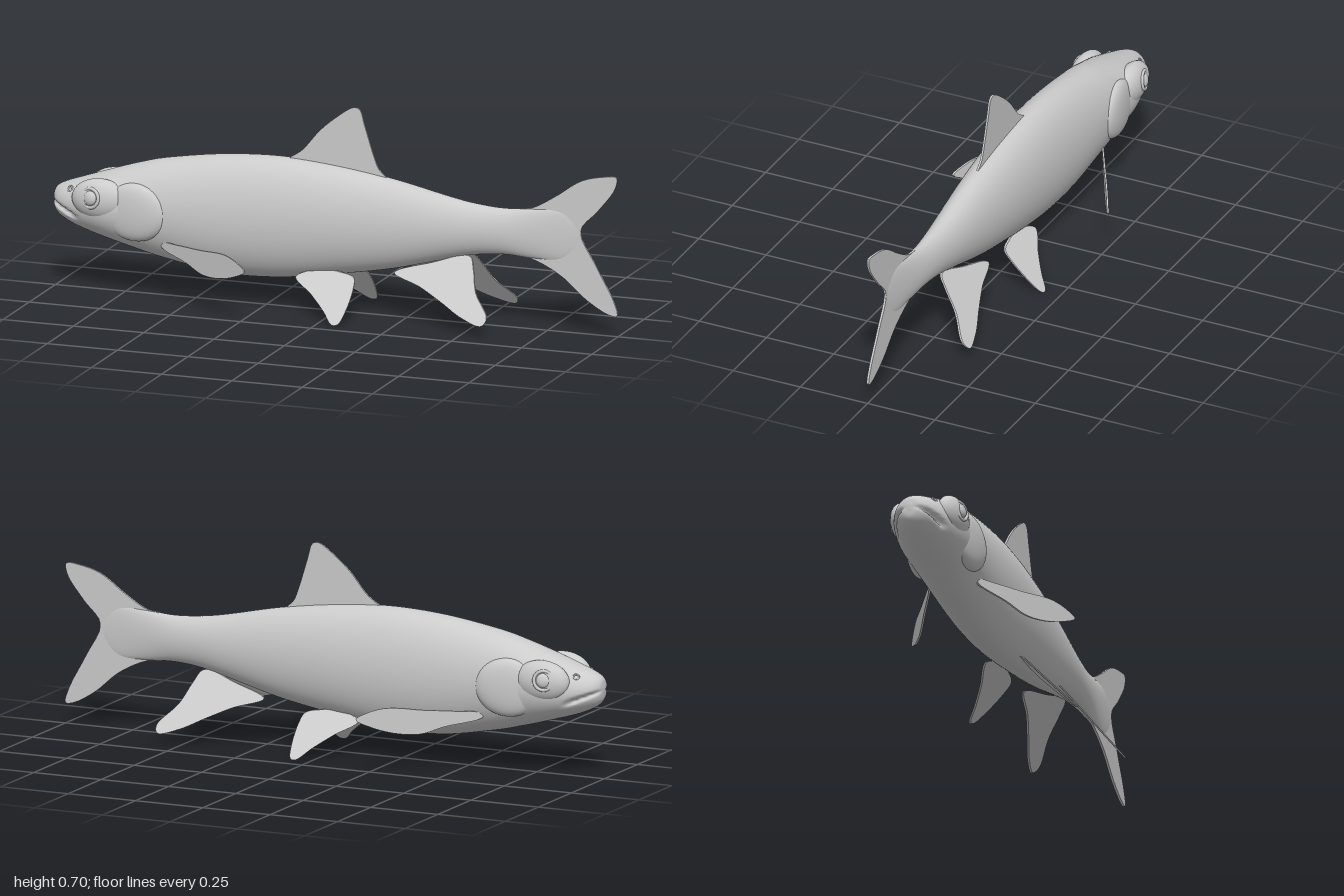
import * as THREE from 'three';
import { mergeVertices } from 'three/addons/utils/BufferGeometryUtils.js';

const skin = new THREE.MeshStandardMaterial({ color: 0xcccccc });
const finSkin = new THREE.MeshStandardMaterial({ color: 0xcccccc, side: THREE.DoubleSide });

// Body stations from snout to tail root: x, belly height, back height, half width
const STATIONS = [
  [-1, 0.3, 0.32, 0.008], [-0.993, 0.268, 0.345, 0.035], [-0.965, 0.243, 0.363, 0.064],
  [-0.9, 0.215, 0.386, 0.094], [-0.8, 0.185, 0.42, 0.116], [-0.7, 0.157, 0.452, 0.113],
  [-0.6, 0.133, 0.477, 0.112], [-0.4, 0.1, 0.507, 0.11], [-0.2, 0.103, 0.517, 0.105],
  [0, 0.132, 0.503, 0.096], [0.2, 0.168, 0.474, 0.08], [0.4, 0.22, 0.432, 0.06],
  [0.5, 0.243, 0.416, 0.048], [0.6, 0.252, 0.41, 0.036], [0.7, 0.247, 0.418, 0.022],
  [0.8, 0.25, 0.42, 0.01], [0.87, 0.3, 0.38, 0.003],
];

function bodyGeometry() {
  const outline = new THREE.CatmullRomCurve3(
    STATIONS.map(([x, lo, hi]) => new THREE.Vector3(x, lo, hi)), false, 'catmullrom');
  const widths = new THREE.CatmullRomCurve3(
    STATIONS.map(([x, , , w]) => new THREE.Vector3(x, w, 0)), false, 'catmullrom');
  const rings = 128, sides = 64, pos = [], index = [];
  for (let i = 0; i <= rings; i++) {
    const { x, y: lo, z: hi } = outline.getPoint(i / rings);
    const w = widths.getPoint(i / rings).y;
    for (let j = 0; j < sides; j++) {
      const a = (j / sides) * Math.PI * 2;
      const y = (lo + hi) / 2 + ((hi - lo) / 2) * Math.sin(a);
      // Mouth slit: a groove that slopes down and fades toward the cheek
      const mouthY = 0.306 - (x + 1) * 0.4;
      const fade = THREE.MathUtils.clamp((-0.885 - x) / 0.04, 0, 1);
      const groove = 0.3 * fade * Math.exp(-(((y - mouthY) / 0.007) ** 2));
      pos.push(x, y, w * Math.cos(a) * (1 - groove));
      if (i < rings) {
        const k = (j + 1) % sides, p = i * sides, q = p + sides;
        index.push(p + j, q + j, q + k, p + j, q + k, p + k);
      }
    }
  }
  // Close snout and tail root
  for (let j = 1; j < sides - 1; j++) {
    const e = rings * sides;
    index.push(0, j, j + 1, e, e + j + 1, e + j);
  }
  const g = new THREE.BufferGeometry();
  g.setAttribute('position', new THREE.Float32BufferAttribute(pos, 3));
  g.setIndex(index);
  g.computeVertexNormals();
  return g;
}

// Thin fin from a smooth closed outline in x, y; slant gives the z of its plane
function finGeometry(points, slant = () => 0, thickness = 0.007) {
  const curve = new THREE.CatmullRomCurve3(
    points.map(([x, y]) => new THREE.Vector3(x, y, 0)), true, 'centripetal');
  const shape = new THREE.Shape(curve.getPoints(72).slice(0, -1).map(p => new THREE.Vector2(p.x, p.y)));
  const g = new THREE.ExtrudeGeometry(shape, { depth: thickness, bevelEnabled: false });
  g.translate(0, 0, -thickness / 2);
  const p = g.attributes.position;
  for (let i = 0; i < p.count; i++) p.setZ(i, p.getZ(i) + slant(p.getX(i), p.getY(i)));
  g.computeVertexNormals();
  return g;
}

// Gill cover: flattened dome with a crisp rim, thinning toward the snout
function gillGeometry() {
  let g = new THREE.SphereGeometry(1, 48, 32).rotateX(Math.PI / 2);
  g.deleteAttribute('uv');
  g.deleteAttribute('normal');
  g = mergeVertices(g);
  const p = g.attributes.position;
  for (let i = 0; i < p.count; i++) {
    const x = p.getX(i), y = p.getY(i), z = p.getZ(i);
    const dome = Math.sign(z) * Math.sqrt(Math.abs(z)) * (0.82 + 0.18 * x);
    p.setXYZ(i, x * 0.118, y * 0.1, dome * 0.064);
  }
  g.computeVertexNormals();
  return g;
}

export function createModel() {
  const fish = new THREE.Group();
  fish.name = 'fish';
  const add = (parent, name, geometry, material = skin) => {
    const mesh = new THREE.Mesh(geometry, material);
    mesh.name = name;
    parent.add(mesh);
    return mesh;
  };

  add(fish, 'body', bodyGeometry());
  add(fish, 'dorsalFin', finGeometry([
    [-0.18, 0.5], [-0.12, 0.548], [-0.06, 0.618], [0.0, 0.67], [0.06, 0.708], [0.082, 0.703],
    [0.1, 0.65], [0.13, 0.555], [0.15, 0.505], [0.18, 0.47], [0, 0.47],
  ]), finSkin);
  add(fish, 'tailFin', finGeometry([
    [0.62, 0.4], [0.7, 0.422], [0.78, 0.468], [0.87, 0.528], [0.95, 0.549], [0.995, 0.55],
    [0.99, 0.51], [0.93, 0.43], [0.868, 0.355], [0.92, 0.245], [0.985, 0.125], [0.998, 0.075],
    [0.97, 0.076], [0.89, 0.12], [0.8, 0.195], [0.7, 0.244], [0.62, 0.26],
  ], undefined, 0.008), finSkin);

  // Paired parts, modelled on +z and mirrored to -z
  const pectoral = finGeometry([
    [-0.59, 0.205], [-0.52, 0.212], [-0.42, 0.217], [-0.31, 0.225], [-0.25, 0.208], [-0.22, 0.187],
    [-0.27, 0.158], [-0.34, 0.138], [-0.41, 0.136], [-0.48, 0.16], [-0.59, 0.19],
  ], x => 0.107 + (x + 0.55) * 0.55);
  const pelvic = finGeometry([
    [-0.12, 0.127], [-0.05, 0.152], [0.03, 0.15], [0.083, 0.137], [0.091, 0.11], [0.088, 0.05],
    [0.074, 0.008], [0.052, 0.005], [0.01, 0.04], [-0.05, 0.083],
  ], (x, y) => 0.193 - y);
  const rear = finGeometry([
    [0.23, 0.172], [0.35, 0.21], [0.48, 0.238], [0.503, 0.2], [0.53, 0.135], [0.588, 0.065],
    [0.577, 0.042], [0.5, 0.06], [0.42, 0.098], [0.33, 0.138],
  ], (x, y) => 0.017 + (0.235 - y) * 0.77);
  const gill = gillGeometry();

  for (const [side, sign] of [['left', -1], ['right', 1]]) {
    const half = new THREE.Group();
    half.name = side + 'SideParts';
    half.scale.z = sign;
    fish.add(half);
    add(half, 'pectoralFin', pectoral, finSkin);
    add(half, 'pelvicFin', pelvic, finSkin);
    add(half, 'rearFin', rear, finSkin);
    add(half, 'gillCover', gill).position.set(-0.683, 0.302, 0.07);

    // Brow swelling with the eye set in a raised rim
    const brow = add(half, 'brow', new THREE.SphereGeometry(1, 32, 20));
    brow.scale.set(0.1, 0.07, 0.045);
    brow.position.set(-0.81, 0.335, 0.083);
    const eye = new THREE.Group();
    eye.name = 'eye';
    eye.position.set(-0.832, 0.345, 0.12);
    eye.rotation.set(-0.12, -0.25, 0);
    half.add(eye);
    add(eye, 'eyeRim', new THREE.TorusGeometry(0.032, 0.006, 10, 32));
    add(eye, 'eyeball', new THREE.SphereGeometry(0.025, 24, 16)).scale.z = 0.55;

    // Nostril
    const nostril = add(half, 'nostril', new THREE.TorusGeometry(0.009, 0.003, 8, 16));
    nostril.position.set(-0.925, 0.355, 0.06);
    nostril.rotation.set(-0.6, -0.4, 0);
  }
  return fish;
}
